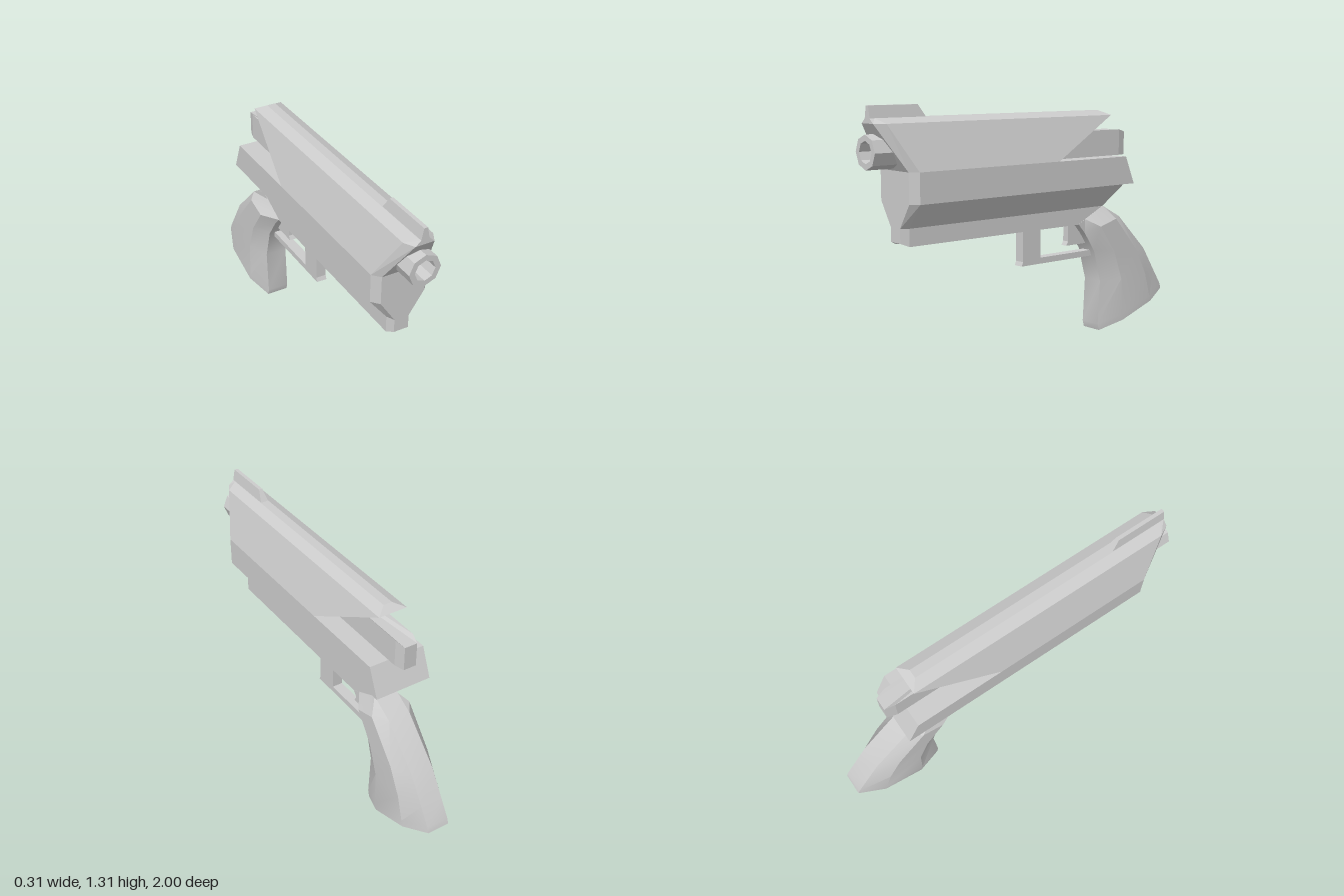
import * as THREE from 'three';
import { toCreasedNormals } from 'three/addons/utils/BufferGeometryUtils.js';

// Full ring from its +x half, listed front to back
const ring = (half) => [...half, ...half.map(([x, y, z]) => [-x, y, z]).reverse()];

// Closed skin over rings stacked from bottom to top
function loft(halves) {
  const rings = halves.map(ring);
  const n = rings[0].length;
  const index = [];
  for (let r = 0; r < rings.length - 1; r++) {
    for (let i = 0; i < n; i++) {
      const a = r * n + i, b = r * n + (i + 1) % n;
      index.push(a, b, b + n, a, b + n, a + n);
    }
  }
  const top = (rings.length - 1) * n;
  for (let i = 1; i < n - 1; i++) {
    index.push(0, i + 1, i, top, top + i, top + i + 1);
  }
  const geo = new THREE.BufferGeometry();
  geo.setAttribute('position', new THREE.Float32BufferAttribute(rings.flat(2), 3));
  geo.setIndex(index);
  return geo;
}

// Side profile of [z, y] points, given a thickness across x
function sidePlate(points, width) {
  const shape = new THREE.Shape(points.map(([z, y]) => new THREE.Vector2(z, y)));
  const geo = new THREE.ExtrudeGeometry(shape, { depth: width, bevelEnabled: false });
  return geo.translate(0, 0, -width / 2).rotateY(-Math.PI / 2);
}

// One level of the body: narrow nose, chamfered corner, straight side to the rear
const level = (y, noseX, noseZ, x, cornerZ, rearZ, noseY = y) => [
  [noseX, noseY, noseZ], [x, y, cornerZ], [x, y, rearZ],
];

// One slanted grip section between a front and a rear [z, y] point
function gripSection([fz, fy], [rz, ry], sideX = 0.115, lift = 0) {
  const at = (t, x, up) => [x, fy + (ry - fy) * t + up, fz + (rz - fz) * t];
  return [at(0, 0.062, 0), at(0.27, sideX, lift), at(0.72, sideX, lift), at(1, 0.062, 0)];
}

export function createModel() {
  const group = new THREE.Group();
  const flat = new THREE.MeshStandardMaterial({ color: 0xcccccc, flatShading: true });
  const smooth = new THREE.MeshStandardMaterial({ color: 0xcccccc });
  const add = (name, geo, material = flat) => {
    const mesh = new THREE.Mesh(geo, material);
    mesh.name = name;
    group.add(mesh);
  };

  // Upper slide with undercut rear
  add('slide', loft([
    level(1.0, 0.122, 0.84, 0.157, 0.8, -0.09),
    level(1.23, 0.05, 0.985, 0.08, 0.93, -0.545),
    level(1.255, 0.02, 0.985, 0.024, 0.96, -0.5),
  ]));

  // Frame: wide band above, tapering keel below
  add('upperFrame', loft([
    level(0.845, 0.122, 0.84, 0.157, 0.8, -0.655),
    level(1.0, 0.122, 0.84, 0.157, 0.8, -0.59),
  ]));
  add('lowerFrame', loft([
    level(0.63, 0.04, 0.84, 0.06, 0.8, -0.33, 0.647),
    level(0.72, 0.04, 0.84, 0.06, 0.8, -0.505),
    level(0.845, 0.122, 0.84, 0.157, 0.8, -0.57),
  ]));

  // Rear bolt under the slide
  add('bolt', loft([
    [[0.05, 1.0, 0.1], [0.05, 1.0, -0.64], [0.035, 1.0, -0.695]],
    [[0.05, 1.145, 0.1], [0.05, 1.145, -0.64], [0.035, 1.13, -0.695]],
  ]));

  // Front sight blade
  add('frontSight', loft([
    [[0.022, 1.252, 0.985], [0.022, 1.252, 0.665]],
    [[0.01, 1.315, 0.985], [0.01, 1.315, 0.705]],
  ]));

  // Eight-sided hollow barrel
  const barrel = [[0.085, 0.8], [0.085, 1], [0.055, 1], [0.055, 0.87], [0, 0.87]];
  add('barrel', new THREE.LatheGeometry(barrel.map((p) => new THREE.Vector2(...p)), 8)
    .rotateX(Math.PI / 2).translate(0, 1.095, 0));

  // Trigger guard and trigger
  add('triggerGuard', sidePlate([
    [0.055, 0.64], [-0.07, 0.64], [-0.07, 0.47], [-0.48, 0.47],
    [-0.48, 0.437], [0.065, 0.437], [0.055, 0.46],
  ], 0.058));
  add('trigger', sidePlate([
    [-0.28, 0.64], [-0.42, 0.64], [-0.42, 0.512], [-0.267, 0.512], [-0.28, 0.535],
  ], 0.04));

  // Swept grip, bottom to top
  add('grip', toCreasedNormals(loft([
    gripSection([-0.485, 0.003], [-1.0, 0.18]),
    gripSection([-0.475, 0.04], [-0.99, 0.21]),
    gripSection([-0.49, 0.29], [-0.93, 0.305]),
    gripSection([-0.44, 0.47], [-0.845, 0.44]),
    gripSection([-0.37, 0.575], [-0.635, 0.65], 0.115, 0.018),
    gripSection([-0.32, 0.632], [-0.505, 0.72], 0.062),
  ]), 0.38), smooth);

  return group;
}
